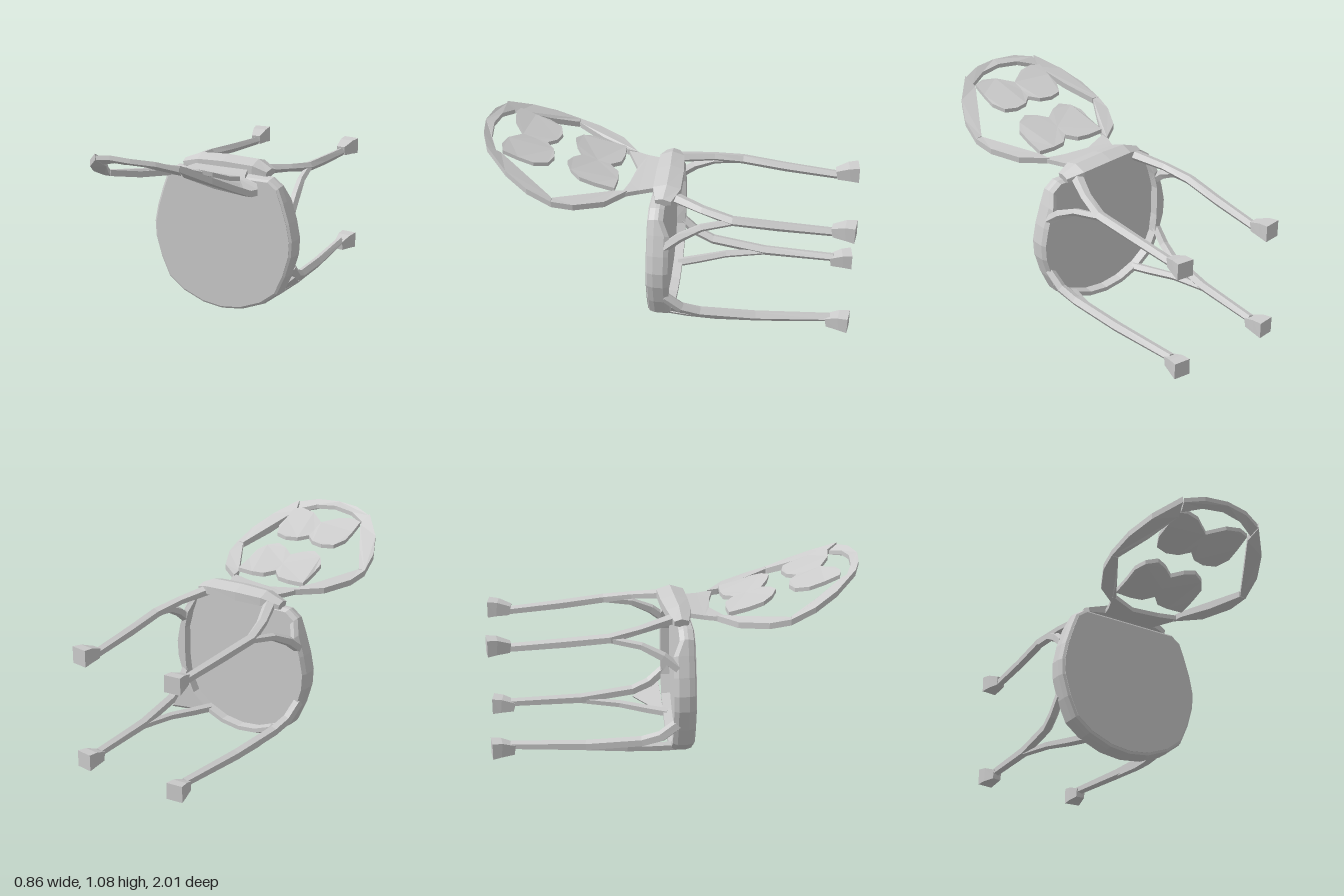
import * as THREE from 'three';

const grey = new THREE.MeshStandardMaterial({ color: 0xcccccc, flatShading: true });
grey.name = 'light grey';

const V = (x, y, z) => new THREE.Vector3(x, y, z);

// Skin a list of rings of points; closed joins the last ring to the first, otherwise the ends are capped.
function loft(rings, closed) {
  const out = [];
  const tri = (a, b, c) => out.push(...a.toArray(), ...b.toArray(), ...c.toArray());
  const n = rings.length, m = rings[0].length;
  for (let i = 0; i < (closed ? n : n - 1); i++) {
    const r = rings[i], s = rings[(i + 1) % n];
    for (let j = 0; j < m; j++) {
      const k = (j + 1) % m;
      tri(r[j], r[k], s[k]);
      tri(r[j], s[k], s[j]);
    }
  }
  if (!closed) {
    const a = rings[0], b = rings[n - 1];
    for (let j = 1; j < m - 1; j++) {
      tri(a[0], a[j + 1], a[j]);
      tri(b[0], b[j], b[j + 1]);
    }
  }
  const g = new THREE.BufferGeometry();
  g.setAttribute('position', new THREE.Float32BufferAttribute(out, 3));
  g.computeVertexNormals();
  return g;
}

// Faceted bar through stations [x, y, z, halfWidth, halfHeight]
function beam(stations, sides) {
  const p = stations.map(s => V(s[0], s[1], s[2]));
  return loft(p.map((c, i) => {
    const t = p[Math.min(i + 1, p.length - 1)].clone().sub(p[Math.max(i - 1, 0)]).normalize();
    const u = V(0, 1, 0).cross(t).normalize(), v = t.clone().cross(u);
    return Array.from({ length: sides }, (_, j) => {
      const a = (j + 0.5) / sides * Math.PI * 2;
      return c.clone().addScaledVector(u, Math.cos(a) * stations[i][3])
        .addScaledVector(v, Math.sin(a) * stations[i][4]);
    });
  }), false);
}

// Plate drawn in x and z, with its underside following height(z)
function plate(points, thickness, height) {
  const shape = new THREE.Shape(points.map(([x, z]) => new THREE.Vector2(x, -z)));
  const g = new THREE.ExtrudeGeometry(shape, { depth: thickness, bevelEnabled: false });
  g.rotateX(-Math.PI / 2);
  const pos = g.attributes.position;
  for (let i = 0; i < pos.count; i++) pos.setY(i, pos.getY(i) + height(pos.getZ(i)));
  g.computeVertexNormals();
  return g;
}

// Curve of the backrest, as [z, y]
const backCurve = [[0.05, 0.8], [0.2, 0.79], [0.4, 0.803], [0.57, 0.84], [0.75, 0.918], [0.9, 1.005],
  [0.97, 1.055], [1, 1.06]];
function backHeight(z) {
  let i = 0;
  while (i < backCurve.length - 2 && z > backCurve[i + 1][0]) i++;
  const [a, b] = [backCurve[i], backCurve[i + 1]];
  return a[1] + (b[1] - a[1]) * (z - a[0]) / (b[0] - a[0]);
}

export function createModel() {
  const group = new THREE.Group();
  group.name = 'chairLyingOnItsBack';
  const add = (name, geometry) => {
    const mesh = new THREE.Mesh(geometry, grey);
    mesh.name = name;
    group.add(mesh);
  };

  // Seat outline, upright and facing the front
  const half = [[0.12, 0.018], [0.25, 0.07], [0.34, 0.14], [0.39, 0.25], [0.425, 0.37], [0.43, 0.46],
    [0.41, 0.56], [0.375, 0.67], [0.345, 0.75], [0.29, 0.79]];
  const outline = [[0, 0.003], ...half, ...half.map(([x, y]) => [-x, y]).reverse()];
  const inset = (x, y, k) => [x * k, 0.4 + (y - 0.4) * k];
  // Inner edge of the rim, cut straight at the sides
  const inner = (x, y, k) => {
    const [a, b] = inset(x, y, k);
    return [THREE.MathUtils.clamp(a, -0.365, 0.365), b];
  };

  // Rim, thinner near the backrest
  add('seatRim', loft(outline.map(([x, y]) => {
    const back = y > 0.7 ? 0 : -0.035;
    const outer = [[0.95, 0.082], [0.98, 0.075], [1, 0.045], [1, back + 0.025], [0.97, back]];
    return [V(...inner(x, y, 0.91), 0.08), ...outer.map(([k, z]) => V(...inset(x, y, k), z)),
      V(...inner(x, y, 0.91), back), V(...inner(x, y, 0.9), 0.04)];
  }), true));

  // Seat panel filling the rim
  const panel = new THREE.ExtrudeGeometry(
    new THREE.Shape(outline.map(([x, y]) => new THREE.Vector2(...inset(x, y, 0.95)))),
    { depth: 0.07, bevelEnabled: false });
  panel.translate(0, 0, 0.015);
  add('seatPanel', panel);

  // Rear bar between the seat and the backrest
  add('rearBar', beam([[-0.25, 0.805, 0.02, 0.045, 0.025], [-0.15, 0.825, 0.015, 0.075, 0.045],
    [0, 0.83, 0.005, 0.085, 0.047], [0.18, 0.825, 0, 0.085, 0.045], [0.26, 0.805, 0.01, 0.05, 0.025]], 6));

  // Neck joining the backrest
  add('backNeck', plate([[-0.15, 0.06], [0.15, 0.06], [0.18, 0.15], [0.22, 0.24], [0.1, 0.21], [-0.05, 0.19],
    [-0.23, 0.27], [-0.18, 0.15]], 0.025, backHeight));

  for (const s of [1, -1]) {
    const side = s > 0 ? 'left' : 'right';
    const flip = list => list.map(([x, ...rest]) => [s * x, ...rest]);

    // Backrest hoop: curved outside, straight inside
    const hoop = {
      Lower: [[0.2, 0.21], [0.33, 0.31], [0.41, 0.46], [0.43, 0.57], [0.39, 0.57], [0.3, 0.42], [0.21, 0.27]],
      Side: [[0.43, 0.57], [0.41, 0.7], [0.35, 0.82], [0.24, 0.94], [0.22, 0.87], [0.305, 0.722], [0.39, 0.575]],
      Top: [[0.235, 0.94], [0.13, 0.98], [0, 1], [0, 0.955], [0.12, 0.94], [0.22, 0.895]],
    };
    for (const key in hoop) add(side + 'Hoop' + key, plate(flip(hoop[key]), key === 'Top' ? 0.024 : 0.033, backHeight));

    // Lobed slats, tilted with the backrest and sagging slightly
    const slatHeight = (z0, y0) => z => y0 + (z - z0) * 0.34 - 0.6 * (z - z0) * (z0 + 0.26 - z);
    add(side + 'LowerSlat', plate(flip([[0, 0.33], [0.05, 0.28], [0.12, 0.27], [0.215, 0.275], [0.215, 0.38],
      [0.215, 0.46], [0.18, 0.51], [0.12, 0.54], [0.06, 0.52], [0, 0.48], [0, 0.4]]), 0.024, slatHeight(0.28, 0.822)));
    add(side + 'UpperSlat', plate(flip([[0, 0.67], [0.05, 0.625], [0.12, 0.61], [0.19, 0.63], [0.225, 0.7],
      [0.225, 0.78], [0.225, 0.86], [0.17, 0.875], [0.09, 0.86], [0, 0.8], [0, 0.73]]), 0.022, slatHeight(0.61, 0.932)));

    // Legs, each with a brace back to the rim and a flared foot
    add(side + 'BackLeg', beam(flip([[0.2, 0.81, -0.03, 0.035, 0.028], [0.27, 0.785, -0.2, 0.03, 0.022],
      [0.31, 0.757, -0.36, 0.03, 0.027], [0.295, 0.735, -0.6, 0.027, 0.028], [0.28, 0.715, -0.9, 0.025, 0.024]]), 5));
    add(side + 'BackBrace', beam(flip([[0.375, 0.6, -0.01, 0.025, 0.028], [0.363, 0.665, -0.09, 0.025, 0.028],
      [0.34, 0.72, -0.2, 0.022, 0.022], [0.31, 0.755, -0.38, 0.02, 0.02]]), 5));
    add(side + 'FrontLeg', beam(flip([[0.38, 0.285, -0.01, 0.025, 0.032], [0.367, 0.21, -0.1, 0.026, 0.032],
      [0.345, 0.175, -0.2, 0.028, 0.03], [0.31, 0.15, -0.5, 0.028, 0.03], [0.28, 0.157, -0.9, 0.025, 0.024]]), 5));
    add(side + 'FrontBrace', beam(flip([[0.22, 0.08, -0.01, 0.028, 0.025], [0.25, 0.092, -0.12, 0.026, 0.025],
      [0.29, 0.115, -0.28, 0.022, 0.022], [0.31, 0.14, -0.5, 0.02, 0.02]]), 5));
    for (const [name, y] of [['BackFoot', 0.735], ['FrontFoot', 0.148]]) {
      add(side + name, beam(flip([[0.28, y - 0.012, -0.88, 0.036, 0.036], [0.288, y, -0.95, 0.056, 0.056],
        [0.294, y, -1, 0.064, 0.064]]), 4));
    }
  }

  // Gusset filling the fork of one front leg
  const corners = [V(0.38, 0.22, -0.05), V(0.22, 0.07, -0.03), V(0.33, 0.14, -0.2)];
  const normal = new THREE.Triangle(...corners).getNormal(V(0, 0, 0));
  add('leftFrontGusset', loft([-0.008, 0.008].map(d => corners.map(c => c.clone().addScaledVector(normal, d))), false));
  return group;
}
